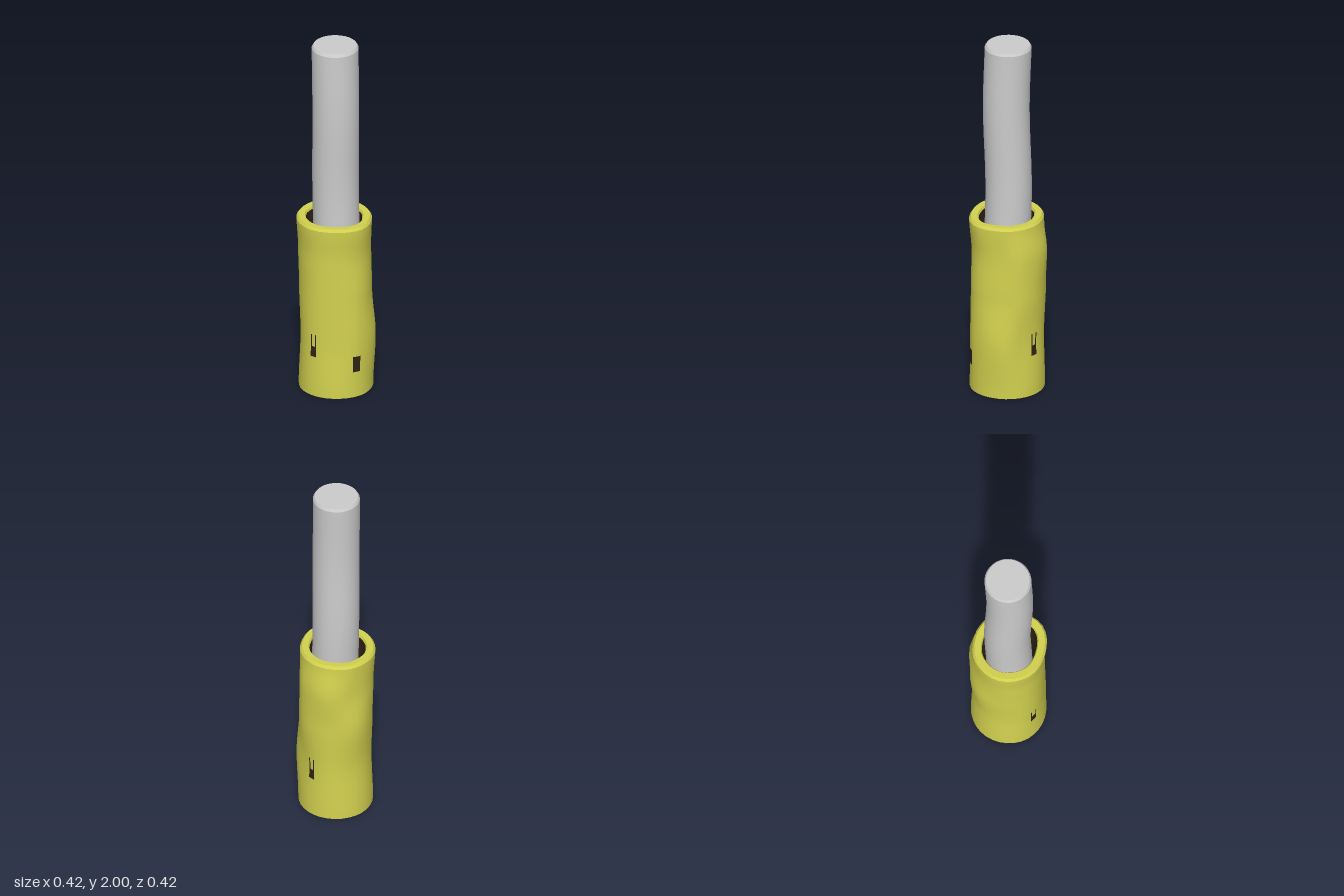
import * as THREE from 'three';
import { ParametricGeometry } from 'three/addons/geometries/ParametricGeometry.js';

const SEGMENTS = 32;

// Sleeve radius in eight directions (+x, then turning towards +z) at five heights
const LEVELS = [0, 0.3, 0.58, 0.8, 1];
const RADII = [
  [0.2, 0.2, 0.205, 0.2, 0.2, 0.197, 0.2, 0.2],
  [0.19, 0.213, 0.21, 0.19, 0.195, 0.187, 0.19, 0.195],
  [0.205, 0.192, 0.203, 0.19, 0.195, 0.195, 0.212, 0.202],
  [0.206, 0.187, 0.195, 0.19, 0.197, 0.2, 0.196, 0.213],
  [0.188, 0.193, 0.212, 0.201, 0.21, 0.21, 0.202, 0.188],
];
const ease = (t) => t * t * (3 - 2 * t);

function ringRadius(ring, angle) {
  const a = (((angle / (Math.PI / 4)) % 8) + 8) % 8;
  const i = Math.floor(a);
  return THREE.MathUtils.lerp(ring[i % 8], ring[(i + 1) % 8], ease(a - i));
}

function sleeveRadius(angle, y) {
  let i = 0;
  while (i < 3 && y > LEVELS[i + 1]) i++;
  const t = THREE.MathUtils.clamp((y - LEVELS[i]) / (LEVELS[i + 1] - LEVELS[i]), 0, 1);
  return THREE.MathUtils.lerp(ringRadius(RADII[i], angle), ringRadius(RADII[i + 1], angle), ease(t));
}

// Slight waviness of the rod axis
const rodX = (y) => 0.004 * Math.sin(y * 5 + 2.6);
const rodZ = (y) => 0.005 * Math.cos(y * 7 + 1.2);

export function createModel() {
  const model = new THREE.Group();
  const yellow = new THREE.MeshStandardMaterial({ color: 0xd2d14f, side: THREE.DoubleSide });
  const dark = new THREE.MeshStandardMaterial({ color: 0x2e2414, side: THREE.DoubleSide });
  const grey = new THREE.MeshStandardMaterial({ color: 0xcccccc });

  const add = (name, geometry, material, parent) => {
    const mesh = new THREE.Mesh(geometry, material);
    mesh.name = name;
    parent.add(mesh);
  };

  // Band around the sleeve between two edges, each given as [inset, height]
  const band = (from, to, stacks) =>
    new ParametricGeometry((u, v, target) => {
      const angle = -u * Math.PI * 2;
      const y = THREE.MathUtils.lerp(from[1], to[1], v);
      const r = sleeveRadius(angle, y) - THREE.MathUtils.lerp(from[0], to[0], v);
      target.set(r * Math.cos(angle), y, r * Math.sin(angle));
    }, SEGMENTS, stacks);

  // Sleeve: open below, with a thick bevelled rim above
  const sleeve = new THREE.Group();
  sleeve.name = 'sleeve';
  model.add(sleeve);
  add('sleeveWall', band([0, 0], [0, 0.985], 24), yellow, sleeve);
  add('rimBevel', band([0, 0.985], [0.011, 1], 1), yellow, sleeve);
  add('rimTop', band([0.011, 1], [0.046, 0.998], 1), yellow, sleeve);
  add('rimInnerBevel', band([0.046, 0.998], [0.052, 0.985], 1), yellow, sleeve);
  add('sleeveLining', band([0.052, 0.985], [0.052, 0.5], 10), dark, sleeve);

  // Dark marks lying just on the sleeve wall
  const mark = (angle, halfWidth, y0, y1) =>
    add('darkMark', new ParametricGeometry((u, v, target) => {
      const y = THREE.MathUtils.lerp(y0, y1, v);
      const a = angle + (0.5 - u) * 2 * (halfWidth / 0.2);
      const r = sleeveRadius(a, y) + 0.0025;
      target.set(r * Math.cos(a), y, r * Math.sin(a));
    }, 4, 6), dark, sleeve);
  mark(1.73, 0.02, 0.15, 0.24);
  for (const angle of [-0.28, 2.94]) {
    mark(angle, 0.018, 0.23, 0.29);
    for (const side of [-1, 1]) mark(angle + side * 0.07, 0.004, 0.29, 0.36);
  }

  // Rod: slightly wavy cylinder with a bevelled top
  const rod = new THREE.Group();
  rod.name = 'rod';
  model.add(rod);
  const rodBand = (r0, y0, r1, y1, stacks) =>
    new ParametricGeometry((u, v, target) => {
      const angle = -u * Math.PI * 2;
      const y = THREE.MathUtils.lerp(y0, y1, v);
      const r = THREE.MathUtils.lerp(r0, r1, v);
      target.set(r * Math.cos(angle) + rodX(y), y, r * Math.sin(angle) + rodZ(y));
    }, SEGMENTS, stacks);
  add('rodShaft', rodBand(0.122, 0, 0.125, 1.985, 30), grey, rod);
  add('rodBevel', rodBand(0.125, 1.985, 0.116, 2, 1), grey, rod);
  for (const [name, radius, y, turn] of [['rodTop', 0.116, 2, -1], ['rodBottom', 0.122, 0, 1]]) {
    const cap = new THREE.CircleGeometry(radius, SEGMENTS).rotateX(turn * Math.PI / 2);
    add(name, cap.translate(rodX(y), y, rodZ(y)), grey, rod);
  }
  return model;
}
